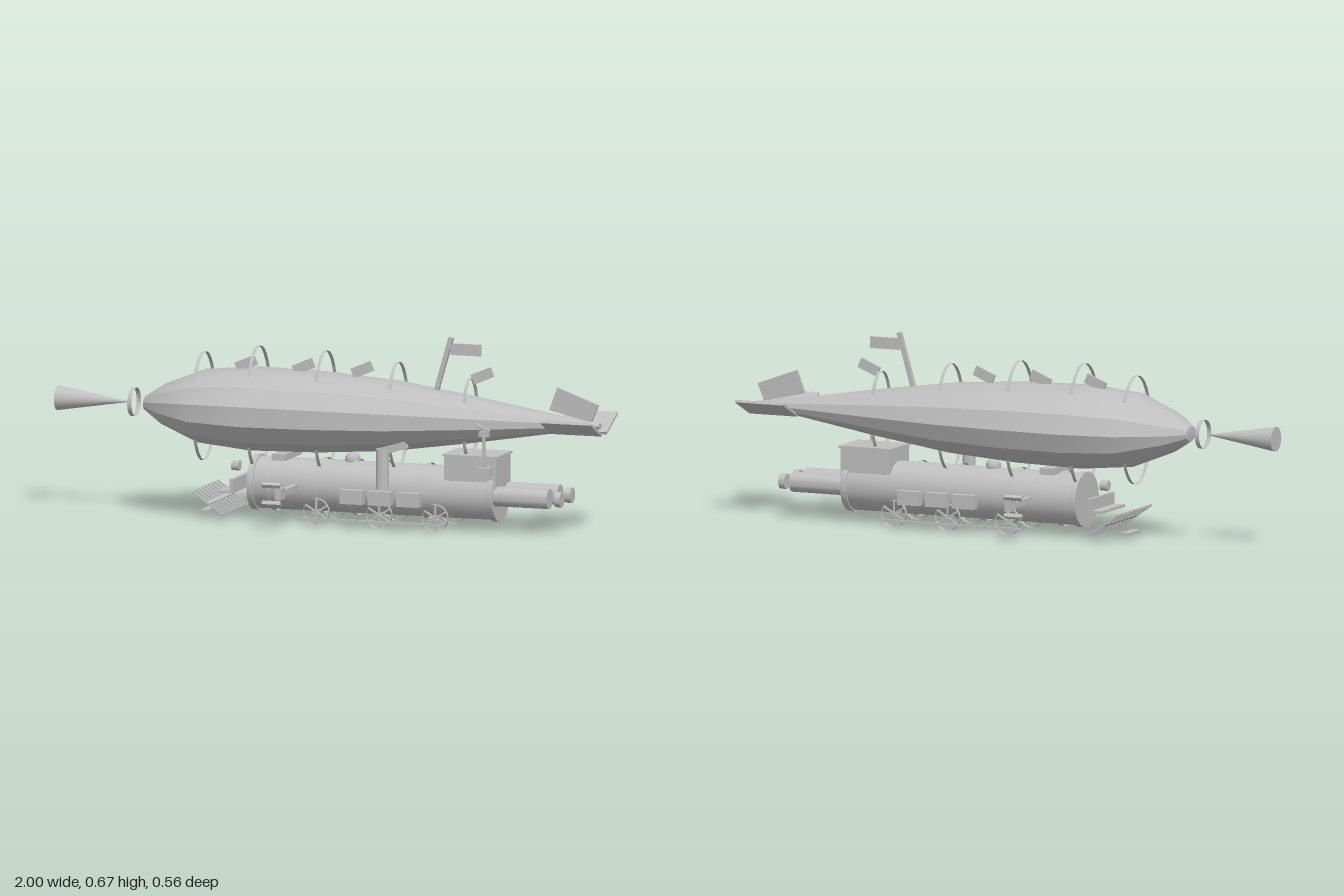
import * as THREE from 'three';
import { toCreasedNormals } from 'three/addons/utils/BufferGeometryUtils.js';

export function createModel() {
  const model = new THREE.Group();
  const grey = new THREE.MeshStandardMaterial({ color: 0xbfbfbf, side: THREE.DoubleSide });
  grey.name = 'plain grey';

  const add = (name, geo, x = 0, y = 0, z = 0) => {
    const mesh = new THREE.Mesh(toCreasedNormals(geo, 0.4), grey);
    mesh.name = name;
    mesh.position.set(x, y, z);
    model.add(mesh);
    return mesh;
  };
  // box given by its extents
  const box = (name, x0, x1, y0, y1, z0, z1) =>
    add(name, new THREE.BoxGeometry(x1 - x0, y1 - y0, Math.abs(z1 - z0)),
      (x0 + x1) / 2, (y0 + y1) / 2, (z0 + z1) / 2);
  // cylinder lying along x
  const tubeX = (name, x0, x1, r, y, z, open = false, sides = 24) =>
    add(name, new THREE.CylinderGeometry(r, r, x1 - x0, sides, 1, open).rotateZ(Math.PI / 2),
      (x0 + x1) / 2, y, z);
  // slab centred at a point in the xy plane, tilted by an angle
  const tilted = (name, w, h, d, x, y, z, angle) => {
    const mesh = add(name, new THREE.BoxGeometry(w, h, d), x, y, z);
    mesh.rotation.z = angle;
    return mesh;
  };

  // Gas envelope: thirteen-sided flattened spindle
  const profile = [
    [0, -0.68], [0.04, -0.675], [0.105, -0.61], [0.192, -0.465], [0.22, -0.27],
    [0.212, -0.02], [0.184, 0.245], [0.122, 0.53], [0.05, 0.82], [0.016, 0.985], [0, 0.985],
  ].map(([r, x]) => new THREE.Vector2(r, x));
  add('envelope', new THREE.LatheGeometry(profile, 13, Math.PI)
    .rotateZ(-Math.PI / 2).scale(1, 0.66, 1), 0, 0.382, 0);

  // Thin hoops around the envelope: x, half height, half width
  for (const [x, hy, hz] of [[-0.465, 0.19, 0.115], [-0.265, 0.22, 0.125],
    [-0.02, 0.215, 0.12], [0.245, 0.188, 0.105], [0.51, 0.145, 0.075]]) {
    tubeX('hoop', x - 0.006, x + 0.006, 1, 0.382, 0, true, 32).scale.set(1, hy, hz);
  }

  // Nose cone and ring
  add('noseCone', new THREE.ConeGeometry(0.043, 0.27, 20).rotateZ(-Math.PI / 2), -0.865, 0.383, 0);
  tubeX('noseRing', -0.729, -0.713, 0.05, 0.383, 0, true);

  // Pennants, mast and flag
  for (const x of [-0.31, -0.1, 0.115, 0.555])
    tilted('pennant', 0.078, 0.036, 0.008, x, 0.537, 0, 0.4);
  tilted('mast', 0.016, 0.22, 0.016, 0.41, 0.56, 0, -0.28);
  box('flag', 0.44, 0.55, 0.605, 0.645, -0.005, 0.005);

  // Tail fins
  const fin = new THREE.Shape([[0.83, 0.51], [0.98, 0.455], [0.955, 0.395], [0.8, 0.43]]
    .map(([x, y]) => new THREE.Vector2(x, y)));
  add('topFin', new THREE.ExtrudeGeometry(fin, { depth: 0.01, bevelEnabled: false }), 0, 0, -0.005);
  for (const s of [1, -1]) {
    const side = add('sideFin', new THREE.BoxGeometry(0.185, 0.009, 0.132), 0.908, 0.382, s * 0.085);
    side.rotation.x = -s * 0.43;
  }

  // Boiler with flanges and bands
  tubeX('boiler', -0.275, 0.62, 0.091, 0.127, 0);
  tubeX('frontFlange', -0.277, -0.255, 0.097, 0.127, 0);
  tubeX('rearFlange', 0.6, 0.622, 0.096, 0.127, 0);
  for (const x of [-0.195, -0.02, 0.1, 0.2, 0.36])
    tubeX('boilerBand', x - 0.006, x + 0.006, 0.097, 0.127, 0, true);

  // Rear cabin
  box('cabin', 0.44, 0.63, 0.145, 0.262, -0.076, 0.076);
  box('cabinRoof', 0.435, 0.636, 0.26, 0.268, -0.08, 0.08);

  // Domes on the boiler
  add('dome', new THREE.SphereGeometry(0.027, 16, 10), 0.08, 0.222, 0);
  box('topBracket', -0.188, -0.137, 0.217, 0.24, -0.087, 0.087);

  // Chimney on the left side, bent into the envelope
  add('chimney', new THREE.CylinderGeometry(0.023, 0.023, 0.14, 20), 0.23, 0.213, 0.119);
  tilted('chimneyElbow', 0.1, 0.026, 0.026, 0.27, 0.287, 0.119, 0.3);

  // Rod gauge behind the chimney
  box('gaugeBox', 0.58, 0.625, 0.205, 0.235, 0.102, 0.133);
  box('gaugeRod', 0.596, 0.606, 0.235, 0.36, 0.114, 0.123);
  box('gaugeHead', 0.585, 0.62, 0.343, 0.362, 0.109, 0.128);
  tilted('gaugeArm', 0.06, 0.012, 0.012, 0.595, 0.372, 0.119, -0.4);

  for (const s of [1, -1]) {
    // Exhausts
    tubeX('exhaust', 0.6, 0.82, 0.035, 0.127, s * 0.055);
    tubeX('exhaustCap', 0.843, 0.865, 0.027, 0.127, s * 0.055);

    // Side lockers and their brackets
    for (const x of [0.085, 0.188, 0.292]) {
      box('locker', x, x + 0.083, 0.088, 0.137, s * 0.125, s * 0.156);
      box('lockerBracket', x + 0.02, x + 0.063, 0.09, 0.1, s * 0.08, s * 0.126);
    }

    // Outrigger with blades
    box('outriggerArm', -0.112, -0.09, 0.117, 0.138, s * 0.08, s * 0.226);
    box('outriggerHead', -0.112, -0.09, 0.108, 0.147, s * 0.225, s * 0.272);
    for (const [y, turn] of [[0.159, 1], [0.096, -1]]) {
      const blade = add('blade', new THREE.BoxGeometry(0.066, 0.014, 0.014), -0.124, y, s * 0.272);
      blade.rotation.x = s * turn * 0.55;
    }

    // Spoked wheels with open rims
    for (const x of [-0.02, 0.21, 0.415]) {
      add('wheelRim', new THREE.CylinderGeometry(0.047, 0.047, 0.014, 20, 1, true)
        .rotateX(Math.PI / 2), x, 0.047, s * 0.097);
      for (let i = 0; i < 3; i++)
        tilted('spoke', 0.092, 0.006, 0.006, x, 0.047, s * 0.097, Math.PI / 6 + i * Math.PI / 3);
    }
    box('couplingRod', -0.085, 0.455, 0.018, 0.028, s * 0.108, s * 0.116);
  }

  // Axles
  for (const x of [-0.02, 0.21, 0.415])
    box('axle', x - 0.004, x + 0.004, 0.043, 0.051, -0.1, 0.1);

  // Front bumper, lamp and slatted guard
  box('bumperShelf', -0.378, -0.328, 0.095, 0.104, -0.095, 0.095);
  box('bumperPlate', -0.338, -0.325, 0.1, 0.145, -0.095, 0.095);
  tubeX('lamp', -0.36, -0.333, 0.018, 0.18, 0);
  for (let i = -4; i <= 4; i++)
    tilted('guardSlat', 0.138, 0.007, 0.008, -0.405, 0.063, i * 0.033, -0.61);
  tilted('guardBar', 0.014, 0.007, 0.27, -0.405, 0.063, 0, -0.61);
  box('guardStep', -0.46, -0.43, 0.016, 0.027, -0.05, 0.05);

  return model;
}
